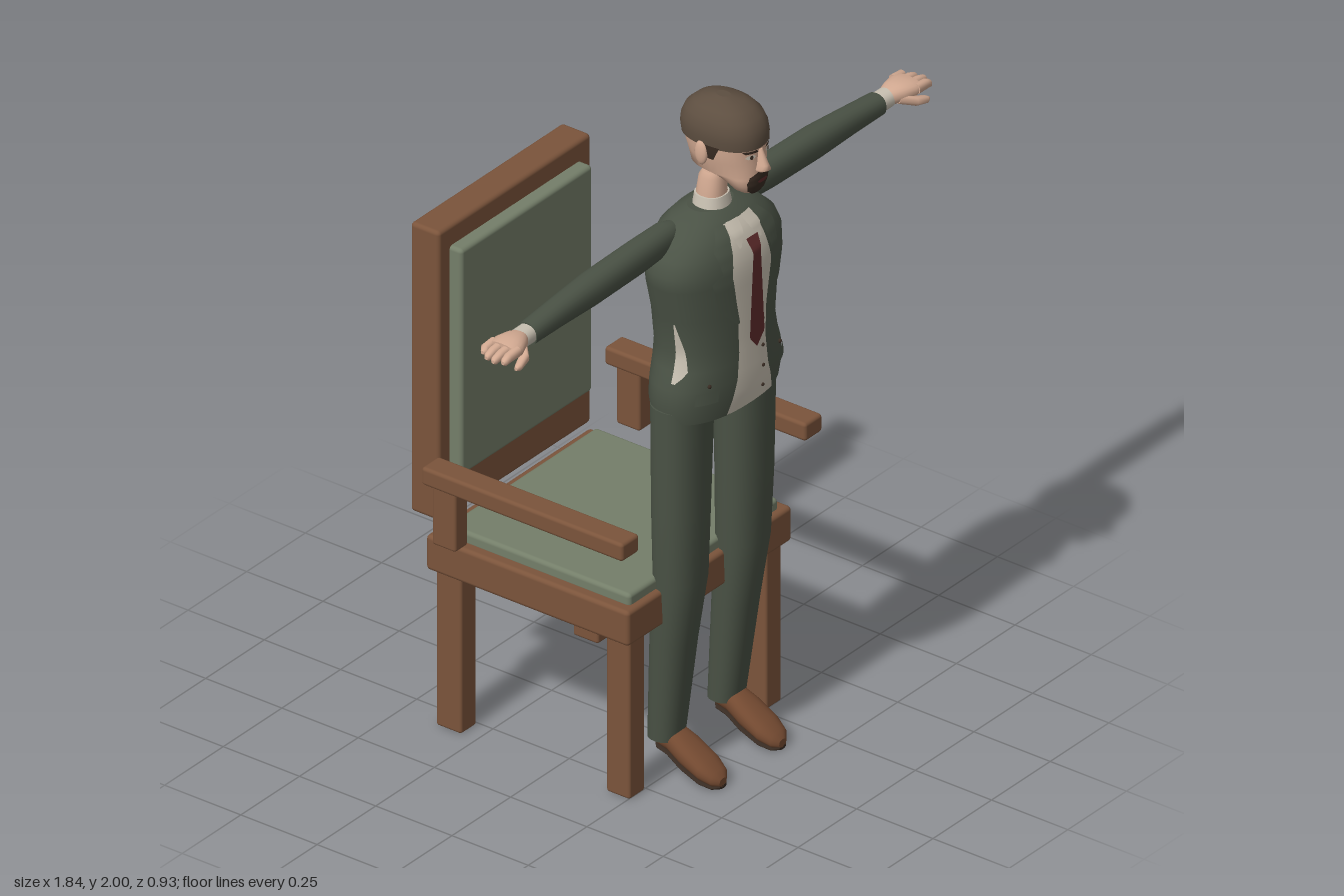
import * as THREE from 'three';
import { RoundedBoxGeometry } from 'three/addons/geometries/RoundedBoxGeometry.js';

const mat = (name, color, double) => {
  const m = new THREE.MeshStandardMaterial({ color });
  m.name = name;
  if (double) m.side = THREE.DoubleSide;
  return m;
};

// Superellipse exponent shared by rings and the details laid on them
const POW = 2.3;

// Rings [y, cx, cz, rx, rz] joined bottom to top, with closed ends
function loft(rows, n = 28) {
  const pos = [], idx = [];
  const ring = ([y, cx, cz, rx, rz]) => {
    for (let i = 0; i < n; i++) {
      const t = (i / n) * Math.PI * 2, c = Math.cos(t), s = Math.sin(t);
      pos.push(cx + rx * Math.sign(c) * Math.abs(c) ** (2 / POW), y, cz + rz * Math.sign(s) * Math.abs(s) ** (2 / POW));
    }
  };
  rows.forEach(ring);
  for (let r = 0; r < rows.length - 1; r++) for (let i = 0; i < n; i++) {
    const a = r * n + i, b = r * n + (i + 1) % n;
    idx.push(a, a + n, b, b, a + n, b + n);
  }
  [rows[0], rows[rows.length - 1]].forEach((row, top) => {
    const s = pos.length / 3;
    ring(row);
    pos.push(row[1], row[0], row[2]);
    for (let i = 0; i < n; i++) {
      const a = s + i, b = s + (i + 1) % n;
      if (top) idx.push(s + n, b, a); else idx.push(s + n, a, b);
    }
  });
  return build(pos, idx);
}

function build(pos, idx) {
  const g = new THREE.BufferGeometry();
  g.setAttribute('position', new THREE.Float32BufferAttribute(pos, 3));
  g.setIndex(idx);
  g.computeVertexNormals();
  return g;
}

// Linear sampling of a table whose first column is the key
function sample(rows, k) {
  let i = 0;
  while (i < rows.length - 2 && rows[i + 1][0] < k) i++;
  const a = rows[i], b = rows[i + 1];
  const t = THREE.MathUtils.clamp((k - a[0]) / (b[0] - a[0]), 0, 1);
  return a.map((v, j) => v + (b[j] - v) * t);
}
const bulge = (d, r) => Math.max(0, 1 - Math.abs(d / r) ** POW) ** (1 / POW);
// Points on the front and on the flank of a lofted body
const front = (rows, off) => (u, y) => {
  const [, cx, cz, rx, rz] = sample(rows, y);
  return [u, y, cz + rz * bulge(u - cx, rx) + off];
};
const flank = (rows, off, s) => (u, y) => {
  const [, , cz, rx, rz] = sample(rows, y);
  return [s * (rx * bulge(u - cz, rz) + off), y, u];
};

// Thin face between edges [y, from, to], listed upwards and laid on a surface
function strip(edges, surf, nx = 8, ny = 28) {
  const pos = [], idx = [], y0 = edges[0][0], y1 = edges[edges.length - 1][0];
  for (let r = 0; r <= ny; r++) {
    const [y, a, b] = sample(edges, y1 + (y0 - y1) * r / ny);
    for (let c = 0; c <= nx; c++) pos.push(...surf(a + (b - a) * c / nx, y));
  }
  for (let r = 0; r < ny; r++) for (let c = 0; c < nx; c++) {
    const a = r * (nx + 1) + c, d = a + nx + 1;
    idx.push(a, d, a + 1, a + 1, d, d + 1);
  }
  return build(pos, idx);
}

// Copy of an indexed geometry on the other side of x = 0
function mirrored(geo) {
  const g = geo.clone().scale(-1, 1, 1), ix = g.index.array;
  for (let i = 0; i < ix.length; i += 3) [ix[i], ix[i + 1]] = [ix[i + 1], ix[i]];
  return g;
}

export function createModel() {
  const model = new THREE.Group();
  const wood = mat('wood', 0x7b543b), cushion = mat('cushion green', 0x747e69);
  const suit = mat('suit green', 0x4a5245, true), skin = mat('skin', 0xd3aa92);
  const hair = mat('hair brown', 0x5d4e40), shirt = mat('shirt cream', 0xc9c1b2, true);
  const tieRed = mat('tie red', 0x5e2b2b, true), leather = mat('shoe brown', 0x744a31);
  const dark = mat('dark brown', 0x382b22, true);

  const add = (name, geo, m) => {
    const mesh = new THREE.Mesh(geo, m);
    mesh.name = name;
    model.add(mesh);
    return mesh;
  };
  const pair = (name, geo, m) => {
    add(name + 'Left', geo, m);
    add(name + 'Right', mirrored(geo), m);
  };
  const box = (name, m, x0, x1, y0, y1, z0, z1, r = 0.008) =>
    add(name, new RoundedBoxGeometry(x1 - x0, y1 - y0, z1 - z0, 2, r), m)
      .position.set((x0 + x1) / 2, (y0 + y1) / 2, (z0 + z1) / 2);
  const ball = (x, y, z, rx, ry, rz) => new THREE.SphereGeometry(1, 14, 10).scale(rx, ry, rz).translate(x, y, z);

  // Chair
  box('seatFrame', wood, -0.35, 0.35, 0.475, 0.58, -0.395, 0.27, 0.012);
  box('seatCushion', cushion, -0.318, 0.318, 0.57, 0.612, -0.35, 0.25, 0.012);
  box('chairBack', wood, -0.325, 0.325, 0.615, 1.485, -0.465, -0.37, 0.012);
  box('backCushion', cushion, -0.28, 0.28, 0.745, 1.425, -0.38, -0.33, 0.012);
  for (const s of [-1, 1]) {
    const side = (name, a, b, ...rest) => box(name, wood, Math.min(s * a, s * b), Math.max(s * a, s * b), ...rest);
    side('frontChairLeg', 0.258, 0.325, 0, 0.48, 0.178, 0.255);
    side('backChairLeg', 0.258, 0.325, 0, 0.48, -0.38, -0.297);
    side('armrest', 0.353, 0.428, 0.782, 0.836, -0.35, 0.31, 0.01);
    side('armrestPost', 0.365, 0.42, 0.61, 0.79, -0.32, -0.243);
  }

  // Trousers and shoes
  pair('trouserLeg', loft([
    [0.1, 0.128, 0.225, 0.052, 0.045], [0.4, 0.132, 0.252, 0.067, 0.057], [0.6, 0.133, 0.275, 0.077, 0.065],
    [0.8, 0.135, 0.278, 0.085, 0.068], [1.13, 0.132, 0.28, 0.092, 0.073]]), suit);
  const shoe = [[0.2, 0.1, 0.02, 0.02], [0.215, 0.105, 0.036, 0.035], [0.25, 0.1, 0.038, 0.038],
    [0.3, 0.075, 0.047, 0.037], [0.36, 0.045, 0.048, 0.03], [0.395, 0.028, 0.036, 0.022], [0.41, 0.018, 0.015, 0.012]];
  pair('shoe', loft(shoe.map(([z, y, rx, ry]) => [z, 0.127, -y, rx, ry])).rotateX(Math.PI / 2), leather);
  pair('shoeSole', loft(shoe.map(([z, y, rx, ry]) => [z, 0.127, ry - y, rx * 0.9, 0.006])).rotateX(Math.PI / 2), dark);

  // Jacket
  const torso = [[1.1, 0, 0.285, 0.215, 0.115], [1.15, 0, 0.286, 0.223, 0.121], [1.2, 0, 0.286, 0.217, 0.122],
    [1.25, 0, 0.285, 0.2, 0.122], [1.3, 0, 0.284, 0.19, 0.122], [1.4, 0, 0.283, 0.203, 0.123],
    [1.5, 0, 0.281, 0.228, 0.125], [1.54, 0, 0.279, 0.229, 0.124], [1.58, 0, 0.275, 0.212, 0.119],
    [1.62, 0, 0.271, 0.17, 0.106], [1.65, 0, 0.27, 0.12, 0.08], [1.665, 0, 0.27, 0.07, 0.05]];
  add('jacket', loft(torso, 48), suit);
  pair('lapel', strip([[1.37, 0.058, 0.068], [1.43, 0.07, 0.128], [1.52, 0.085, 0.15], [1.535, 0.082, 0.115],
    [1.6, 0.068, 0.125], [1.645, 0.055, 0.085]], front(torso, 0.01)), suit);
  pair('pocketFlap', strip([[1.16, 0.13, 0.19], [1.195, 0.125, 0.185]], front(torso, 0.006), 6, 4), suit);
  for (const s of [-1, 1]) add('jacketSideGap', strip([[1.22, 0.305, 0.315], [1.25, 0.305, 0.342],
    [1.33, 0.306, 0.327], [1.395, 0.306, 0.31]], flank(torso, 0.004, s), 3, 10), shirt);

  // Shirt, collar and tie
  add('shirtFront', strip([[1.105, -0.095, 0.095], [1.2, -0.065, 0.065], [1.28, -0.056, 0.056],
    [1.38, -0.06, 0.06], [1.5, -0.085, 0.085], [1.645, -0.055, 0.055]], front(torso, 0.005), 14), shirt);
  add('collarBand', loft([[1.64, 0, 0.277, 0.056, 0.052], [1.695, 0, 0.275, 0.046, 0.043]]), shirt);
  pair('collarWing', strip([[1.585, 0.04, 0.046], [1.62, 0.014, 0.06], [1.65, 0.006, 0.05]], front(torso, 0.013), 4, 8), shirt);
  const hang = (u, y) => [u, y, y > 1.57 ? 0.424 - (y - 1.57) * 0.5 : 0.424];
  add('tie', strip([[1.28, -0.001, 0.001], [1.315, -0.031, 0.031], [1.56, -0.016, 0.016], [1.57, -0.018, 0.018],
    [1.605, -0.024, 0.024]], hang, 2, 40), tieRed);
  const shirtZ = front(torso, 0.007), coatZ = front(torso, 0.003);
  for (const y of [1.14, 1.2, 1.26, 1.34]) add('shirtButton', ball(0.04, y, shirtZ(0.04, y)[2], 0.005, 0.005, 0.004), dark);
  pair('jacketButton', ball(0.15, 1.21, coatZ(0.15, 1.21)[2], 0.006, 0.006, 0.005), dark);

  // Arms and hands stretched out sideways; rows are [x, -y, z, half height, half depth]
  const along = rows => loft(rows, 20).rotateZ(-Math.PI / 2);
  pair('sleeve', along([[0.12, -1.615, 0.238, 0.03, 0.03], [0.16, -1.612, 0.238, 0.042, 0.038],
    [0.28, -1.61, 0.24, 0.046, 0.04], [0.48, -1.606, 0.24, 0.045, 0.041], [0.62, -1.602, 0.241, 0.038, 0.036],
    [0.745, -1.597, 0.242, 0.032, 0.033]]), suit);
  pair('cuff', along([[0.74, -1.598, 0.243, 0.027, 0.029], [0.785, -1.6, 0.245, 0.026, 0.029]]), shirt);
  pair('palm', along([[0.775, -1.602, 0.246, 0.021, 0.024], [0.805, -1.606, 0.251, 0.026, 0.038],
    [0.84, -1.608, 0.254, 0.026, 0.048], [0.868, -1.608, 0.254, 0.02, 0.047]]), skin);
  [[0.215, 0.9], [0.24, 0.917], [0.266, 0.922], [0.291, 0.912]].forEach(([z, tip], i) =>
    pair('finger' + (i + 1), along([[0.85, -1.61, z, 0.015, 0.0135], [0.89, -1.608, z, 0.014, 0.0125],
      [tip - 0.006, -1.603, z, 0.011, 0.01], [tip, -1.602, z, 0.005, 0.005]]), skin));
  pair('thumb', along([[0.795, -1.598, 0.268, 0.014, 0.014], [0.83, -1.587, 0.3, 0.014, 0.015],
    [0.868, -1.578, 0.309, 0.011, 0.011], [0.88, -1.576, 0.309, 0.005, 0.005]]), skin);

  // Neck and head
  add('neck', loft([[1.65, 0, 0.277, 0.045, 0.042], [1.7, 0, 0.275, 0.04, 0.039], [1.745, 0, 0.278, 0.034, 0.036],
    [1.762, 0, 0.28, 0.026, 0.028]]), skin);
  const face = [[1.745, 0, 0.398, 0.028, 0.022], [1.755, 0, 0.393, 0.042, 0.034], [1.775, 0, 0.387, 0.056, 0.046],
    [1.796, 0, 0.365, 0.068, 0.07], [1.802, 0, 0.33, 0.072, 0.105], [1.84, 0, 0.327, 0.081, 0.108],
    [1.87, 0, 0.322, 0.086, 0.112], [1.9, 0, 0.322, 0.087, 0.116]];
  add('face', loft(face, 36), skin);
  add('hair', loft([[1.885, 0, 0.319, 0.089, 0.121], [1.91, 0, 0.318, 0.092, 0.123], [1.935, 0, 0.317, 0.09, 0.119],
    [1.96, 0, 0.316, 0.081, 0.107], [1.98, 0, 0.315, 0.064, 0.084], [1.992, 0, 0.314, 0.044, 0.058],
    [2, 0, 0.313, 0.015, 0.02]], 36), hair);
  for (const s of [-1, 1]) add('sideburn', strip([[1.85, 0.325, 0.345], [1.89, 0.315, 0.365]], flank(face, 0.003, s), 3, 4),
    dark);
  pair('ear', ball(0.088, 1.862, 0.308, 0.011, 0.036, 0.02), skin);
  add('nose', loft([[1.815, 0, 0.434, 0.016, 0.018], [1.822, 0, 0.437, 0.019, 0.028], [1.835, 0, 0.435, 0.014, 0.025],
    [1.878, 0, 0.428, 0.007, 0.012]], 14), skin);

  // Facial details
  const on = off => front(face, off);
  pair('eyeWhite', strip([[1.858, 0.027, 0.041], [1.864, 0.02, 0.05], [1.87, 0.027, 0.043]], on(0.003), 6, 4), shirt);
  pair('iris', strip([[1.858, 0.032, 0.037], [1.864, 0.029, 0.04], [1.87, 0.032, 0.037]], on(0.005), 3, 4), dark);
  pair('eyebrow', strip([[1.876, 0.016, 0.05], [1.884, 0.02, 0.058]], on(0.005), 6, 3), dark);
  add('beard', strip([[1.746, -0.02, 0.02], [1.76, -0.038, 0.038], [1.785, -0.046, 0.046], [1.802, -0.04, 0.04],
    [1.816, -0.016, 0.016]], on(0.006), 12, 16), dark);
  add('mouth', strip([[1.782, -0.012, 0.012], [1.788, -0.02, 0.02], [1.793, -0.012, 0.012]], on(0.009), 6, 4), tieRed);

  return model;
}
